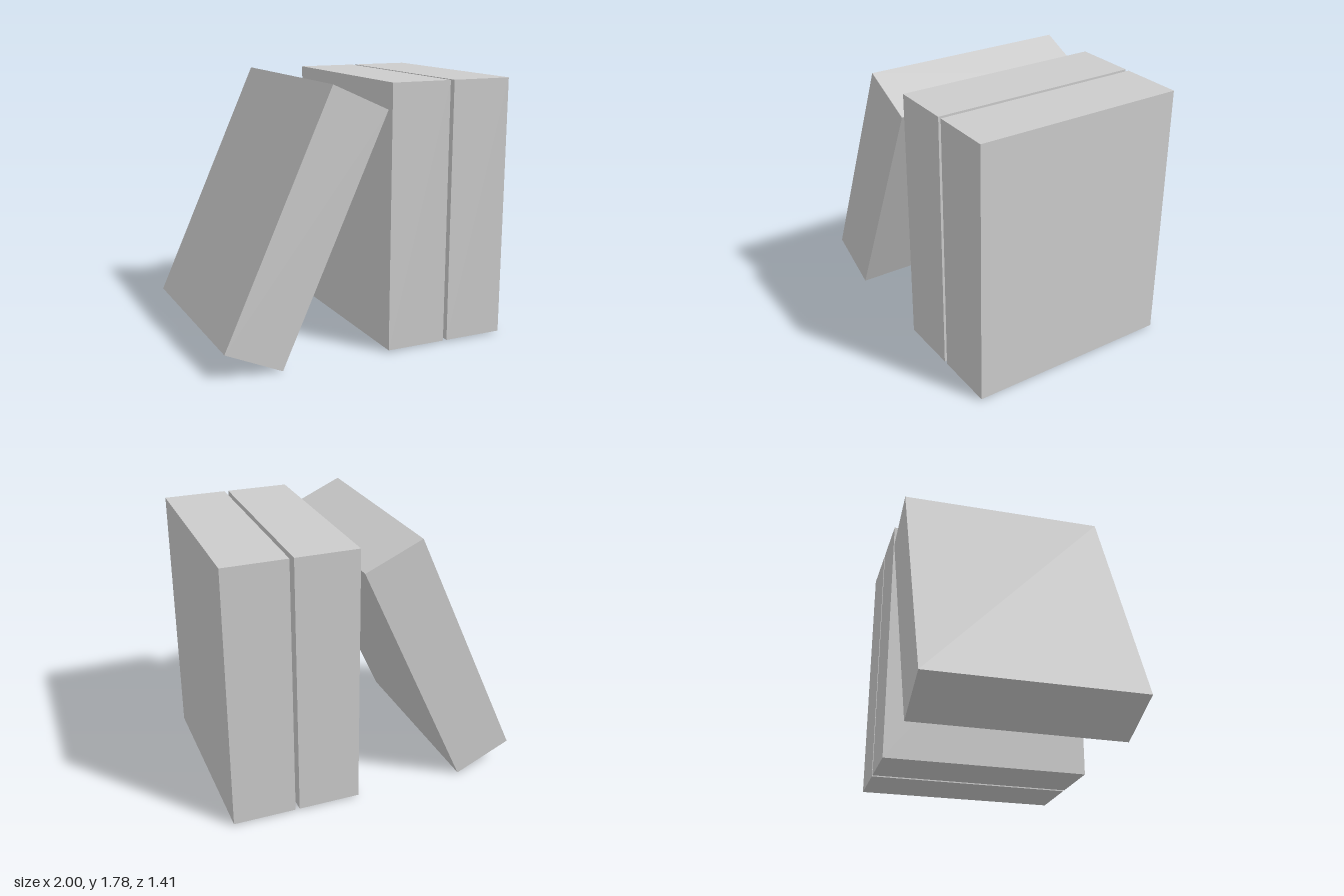
import * as THREE from 'three';

export function createModel() {
  const group = new THREE.Group();
  group.name = 'bookRow';
  const material = new THREE.MeshStandardMaterial({ color: 0xcccccc, flatShading: true });
  const geometry = new THREE.BoxGeometry(0.418, 1.76, 1.412);

  // One block-shaped book, optionally tilted about z
  function addBook(name, x, y, tilt = 0) {
    const book = new THREE.Mesh(geometry, material);
    book.name = name;
    book.position.set(x, y, 0);
    book.rotation.z = THREE.MathUtils.degToRad(tilt);
    group.add(book);
  }

  // Two upright books and one leaning toward them
  addBook('outerUprightBook', 0.789, 0.89);
  addBook('innerUprightBook', 0.343, 0.89);
  addBook('leaningBook', -0.447, 0.888, -24.3);

  return group;
}
